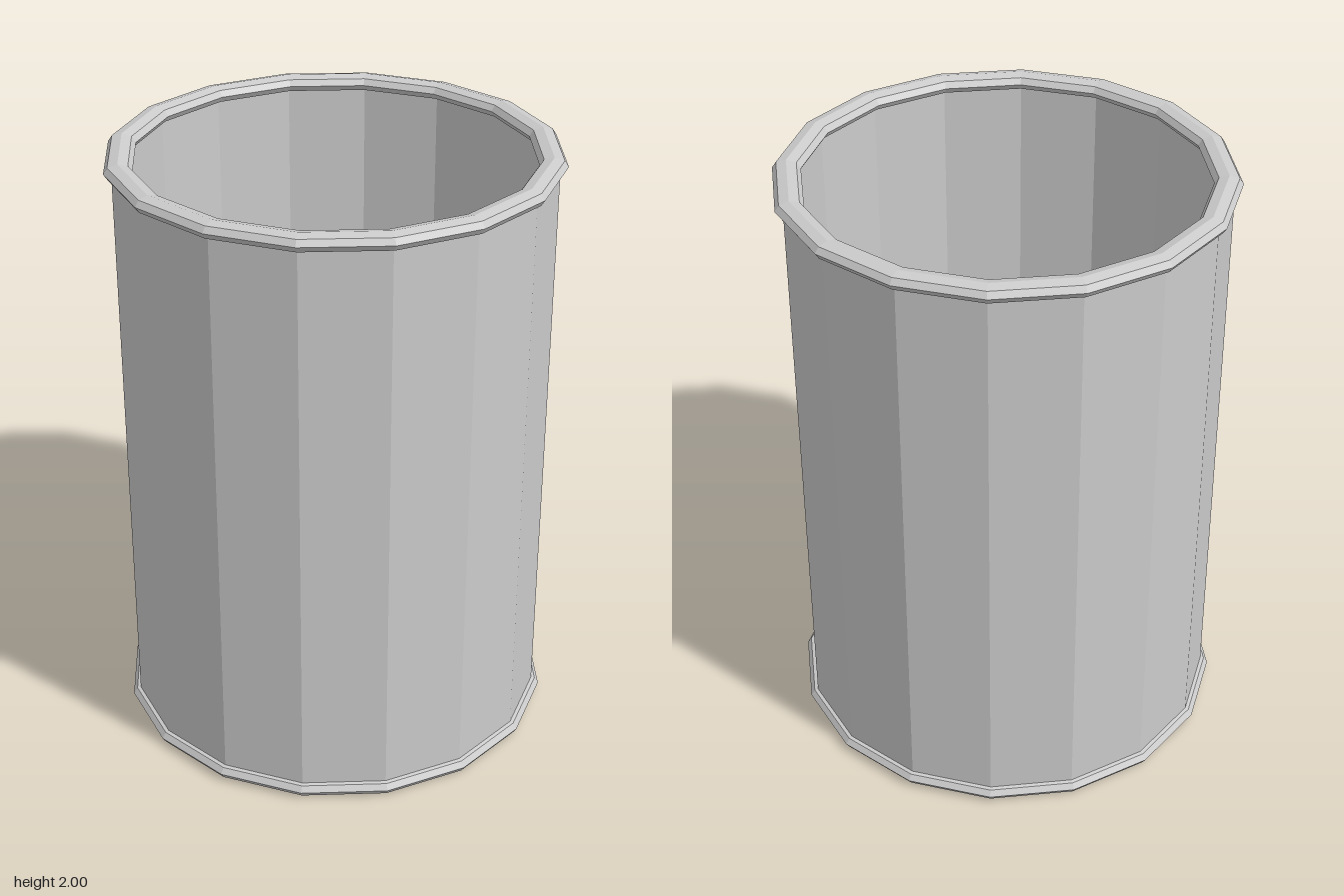
import * as THREE from 'three';

const SIDES = 16;
const material = new THREE.MeshStandardMaterial({ color: 0xcccccc, flatShading: true });

// Turns a counter-clockwise [radius, height] profile around the y axis
function turned(name, profile) {
  const points = profile.map(([r, y]) => new THREE.Vector2(r, y));
  const mesh = new THREE.Mesh(new THREE.LatheGeometry(points, SIDES), material);
  mesh.name = name;
  return mesh;
}

// Slightly flattened eight-sided bead
function bead(name, y) {
  const profile = [];
  for (let i = 0; i <= 8; i++) {
    const a = (i / 8) * Math.PI * 2;
    profile.push([0.68 + 0.045 * Math.cos(a), 0.028 * Math.sin(a)]);
  }
  const mesh = turned(name, profile);
  mesh.position.y = y;
  return mesh;
}

export function createModel() {
  const model = new THREE.Group();
  model.name = 'openCan';

  // Base, outer wall, inner wall and floor in one profile
  model.add(turned('canBody', [
    [0, 0.002], [0.68, 0.002], [0.7, 0.03], [0.7, 1.97],
    [0.66, 1.97], [0.66, 0.04], [0, 0.04],
  ]));

  // Rolled rims at both ends
  model.add(bead('bottomRim', 0.028), bead('topRim', 1.972));
  return model;
}
